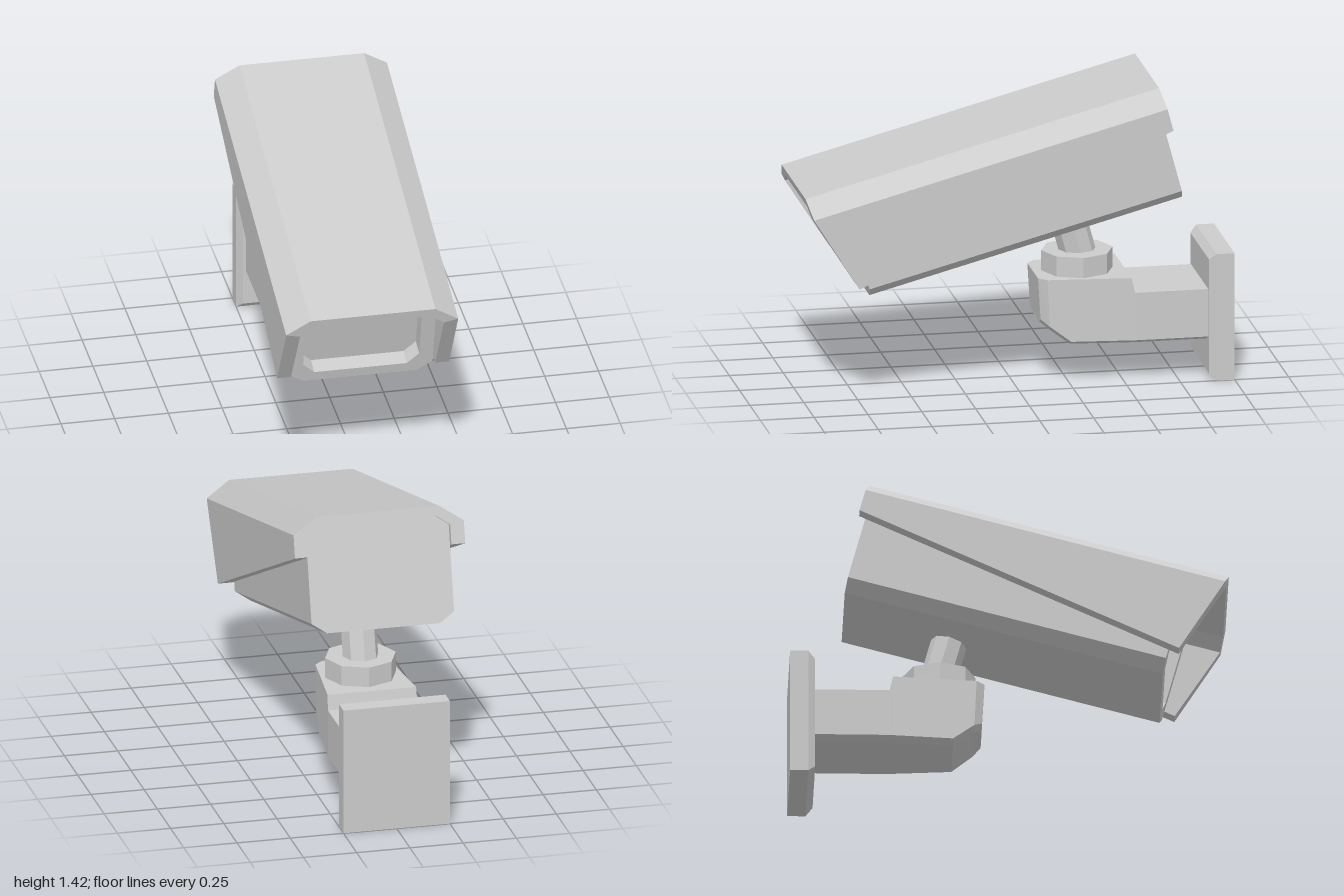
import * as THREE from 'three';

const material = new THREE.MeshStandardMaterial({ color: 0xcccccc, flatShading: true });

function part(name, geometry) {
  const mesh = new THREE.Mesh(geometry, material);
  mesh.name = name;
  return mesh;
}

// Mirrors a right-hand half outline (bottom to top) into a closed counter-clockwise one
const mirrored = (half) => [...half, ...half.map(([x, ...rest]) => [-x, ...rest]).reverse()];

const toPoints = (outline) => outline.map(([x, y]) => new THREE.Vector2(x, y));

function extrude(shape, back, front) {
  const geometry = new THREE.ExtrudeGeometry(shape, { depth: front - back, bevelEnabled: false });
  return geometry.translate(0, 0, back);
}

// Skins convex rings of [x, y, z], ordered from back to front, and caps both ends
function loft(rings) {
  const positions = [];
  const triangle = (...corners) => corners.forEach((p) => positions.push(...p));
  const n = rings[0].length;
  for (let k = 0; k < rings.length - 1; k++) {
    for (let i = 0; i < n; i++) {
      const j = (i + 1) % n;
      triangle(rings[k][i], rings[k][j], rings[k + 1][j]);
      triangle(rings[k][i], rings[k + 1][j], rings[k + 1][i]);
    }
  }
  const first = rings[0], last = rings[rings.length - 1];
  for (let i = 1; i < n - 1; i++) {
    triangle(first[0], first[i + 1], first[i]);
    triangle(last[0], last[i], last[i + 1]);
  }
  const geometry = new THREE.BufferGeometry();
  geometry.setAttribute('position', new THREE.Float32BufferAttribute(positions, 3));
  geometry.computeVertexNormals();
  return geometry;
}

// Sun hood: chamfered U section whose lower edge rises towards the back
function hoodGeometry() {
  const back = -0.985, front = 0.713, low = 0.745;
  const outer = mirrored([[0.4, low], [0.4, 1.126], [0.29, 1.201]]);
  const inner = mirrored([[0.335, low], [0.335, 1.11], [0.27, 1.158]]).reverse();
  const geometry = extrude(new THREE.Shape(toPoints([...outer, ...inner])), back, front);
  const pos = geometry.attributes.position;
  for (let i = 0; i < pos.count; i++) {
    if (pos.getY(i) > 0.8) continue;
    if (pos.getZ(i) > 0) pos.setZ(i, 0.597);
    else pos.setY(i, 1.02);
  }
  geometry.computeVertexNormals();
  return geometry;
}

// Arm: tapers towards a chamfered nose, with a step on top
function armGeometry() {
  const stations = [
    // z, half width, bottom, top, forward lean of the top
    [-0.89, 0.21, 0.18, 0.425, 0],
    [-0.545, 0.21, 0.18, 0.425, 0],
    [-0.53, 0.208, 0.18, 0.495, 0],
    [-0.255, 0.18, 0.18, 0.495, 0],
    [-0.157, 0.17, 0.254, 0.495, 0.01],
    [-0.122, 0.13, 0.28, 0.495, 0.012],
  ];
  return loft(stations.map(([z, w, bottom, top, lean]) => mirrored([
    [w - 0.04, bottom, z],
    [w, bottom + 0.02, z],
    [w, top, z + lean],
  ])));
}

// Wall plate: slab with its front edges bevelled
function plateGeometry() {
  const stations = [[-1, 0.25, 0, 0.6], [-0.917, 0.25, 0, 0.6], [-0.885, 0.225, 0.03, 0.57]];
  return loft(stations.map(([z, w, bottom, top]) => mirrored([[w, bottom, z], [w, top, z]])));
}

export function createModel() {
  const model = new THREE.Group();
  model.name = 'securityCamera';

  // Camera head, tilted down at the front
  const head = new THREE.Group();
  head.name = 'cameraHead';
  head.rotation.x = THREE.MathUtils.degToRad(15);
  model.add(head);

  const section = toPoints(mirrored([[0.265, 0.661], [0.335, 0.71], [0.335, 1.11], [0.27, 1.158]]));
  const opening = toPoints(mirrored([[0.215, 0.71], [0.27, 0.765], [0.27, 1.06], [0.215, 1.109]]));
  const rim = new THREE.Shape(section);
  rim.holes.push(new THREE.Path(opening));
  head.add(part('body', extrude(new THREE.Shape(section), -0.955, 0.466)));
  head.add(part('windowFrame', extrude(rim, 0.466, 0.546)));
  head.add(part('sunHood', hoodGeometry()));

  const post = part('neckPost', new THREE.CylinderGeometry(0.083, 0.083, 0.23, 8));
  post.position.set(0, 0.565, -0.457);
  head.add(post);

  // Wall mount
  const collar = part('swivelCollar', new THREE.CylinderGeometry(0.166, 0.166, 0.1, 8));
  collar.position.set(0, 0.54, -0.315);
  model.add(collar);
  model.add(part('arm', armGeometry()));
  model.add(part('wallPlate', plateGeometry()));

  return model;
}
